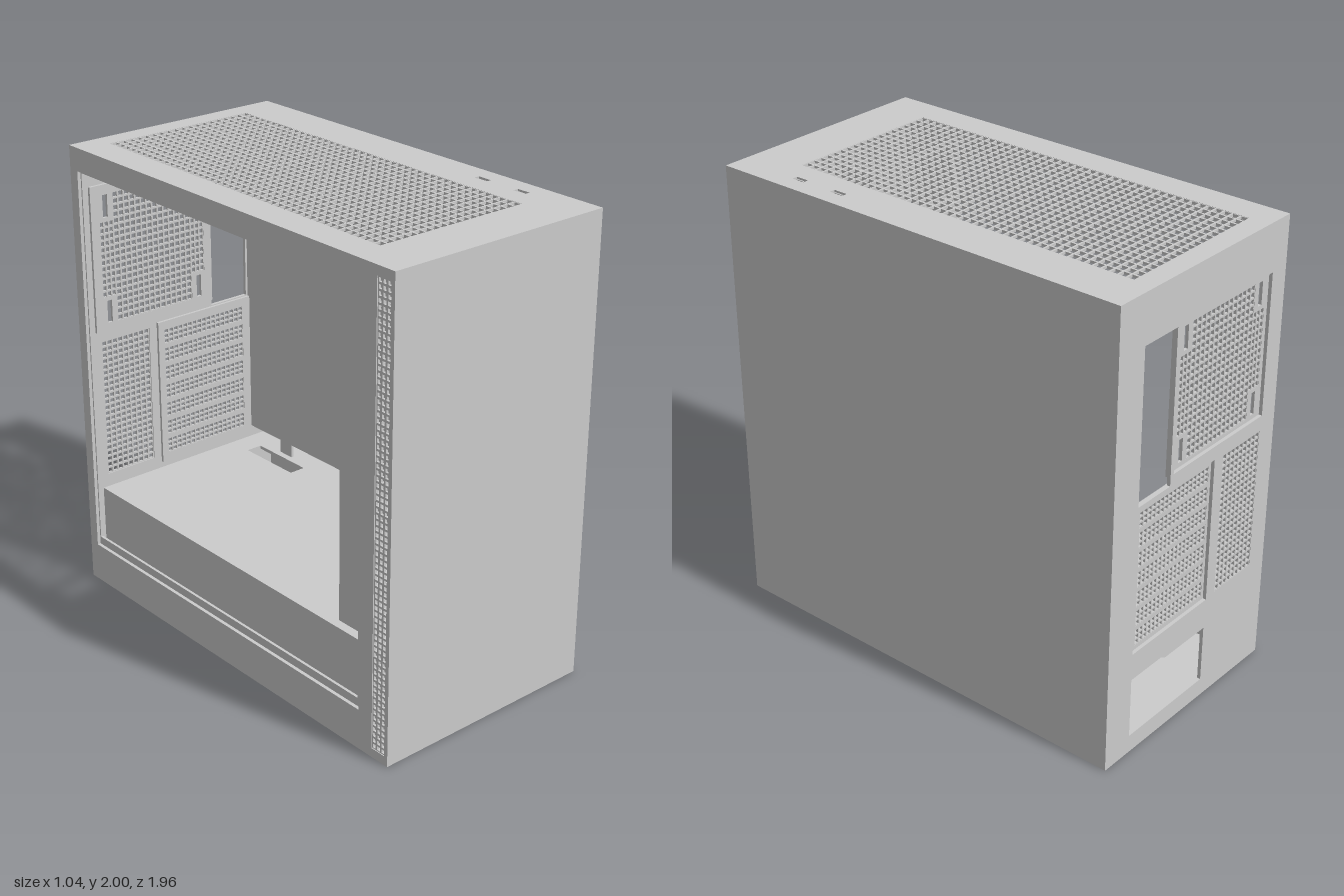
import * as THREE from 'three';
import { mergeGeometries } from 'three/addons/utils/BufferGeometryUtils.js';

const material = new THREE.MeshStandardMaterial({ color: 0xcccccc, flatShading: true });
const X = 0.52, H = 2, Z = 0.98, T = 0.015;

// A flat rectangle is [u0, v0, u1, v1]; its corners as points
const corners = ([a, b, c, d]) => [[a, b], [c, b], [c, d], [a, d]].map(p => new THREE.Vector2(...p));

// Turn a flat part to face an axis: back (x,y), top (x,z), side (z,y)
function orient(geo, axis, at) {
  if (axis === 'back') geo.translate(0, 0, at);
  if (axis === 'top') geo.rotateX(Math.PI / 2).translate(0, at, 0);
  if (axis === 'side') geo.rotateY(-Math.PI / 2).translate(at, 0, 0);
  return geo;
}

// Sheet with cut-outs; a hole is a rectangle or a list of points
function sheet(rect, holes, depth = T) {
  const shape = new THREE.Shape(corners(rect));
  for (const h of holes) {
    const pts = typeof h[0] === 'number' ? corners(h) : h.map(p => new THREE.Vector2(...p));
    shape.holes.push(new THREE.Path(pts));
  }
  return new THREE.ExtrudeGeometry(shape, { depth, bevelEnabled: false });
}

// Grid of crossing bars filling a rectangle
function grille([u0, v0, u1, v1], nu, nv, bar = 0.008, depth = 0.01) {
  const w = u1 - u0, h = v1 - v0, parts = [];
  for (let i = 0; i <= nu; i++)
    parts.push(new THREE.BoxGeometry(bar, h, depth).translate(u0 + w * i / nu, (v0 + v1) / 2, depth / 2 + 0.001));
  for (let j = 0; j <= nv; j++)
    parts.push(new THREE.BoxGeometry(w, bar, depth).translate((u0 + u1) / 2, v0 + h * j / nv, depth / 2 + 0.001));
  return mergeGeometries(parts);
}

export function createModel() {
  const model = new THREE.Group();
  const add = (name, geo) => {
    const mesh = new THREE.Mesh(geo, material);
    mesh.name = name;
    model.add(mesh);
  };
  const box = (name, x0, y0, z0, x1, y1, z1) => add(name,
    new THREE.BoxGeometry(x1 - x0, y1 - y0, z1 - z0).translate((x0 + x1) / 2, (y0 + y1) / 2, (z0 + z1) / 2));

  // Solid outer panels
  box('frontPanel', -X, 0, Z - T, X, H, Z);
  box('leftPanel', X - T, 0, -Z + T, X, H, Z - T);
  box('bottomPanel', -X + T, 0, -Z + T, X - T, T, Z - T);

  // Top panel with large mesh and two port openings
  const topVent = [-0.385, -0.89, 0.325, 0.755];
  const ports = [[0.42, 0.41, 0.445, 0.475], [0.42, 0.62, 0.445, 0.68]];
  add('topPanel', orient(sheet([-X, -Z + T, X - T, Z - T], [topVent, ...ports]), 'top', H));
  add('topMesh', orient(grille(topVent, 19, 44), 'top', H));
  for (const [x0, z0, x1, z1] of ports) {
    box('portFloor', x0 - 0.01, H - 0.05, z0 - 0.01, x1 + 0.01, H - 0.03, z1 + 0.01);
    box('portTongue', x0 + 0.008, H - 0.03, z0 + 0.01, x0 + 0.014, H - 0.004, z1 - 0.01);
  }

  // Open right side: frame, inner lip and vent strip along the front
  const window_ = [-0.93, 0.175, 0.815, 1.9];
  const strip = [0.89, 0.04, 0.965, 1.96];
  add('sideFrame', orient(sheet([-Z + T, 0, Z - T, H], [window_, [0.89, 0.04, 0.962, 1.96]]), 'side', -X + T));
  add('sideVent', orient(grille([strip[0], strip[1], 0.962, strip[3]], 3, 76, 0.009), 'side', -X + T));
  add('sideLip', orient(sheet([-0.95, 0.15, 0.84, 1.93], [[-0.925, 0.21, 0.79, 1.89]], 0.012), 'side', -X + 0.028));

  // Back panel with openings for ports, fan, cards, vent and power supply
  const fanArea = [-0.43, 1.175, 0.156, 1.79];
  const cardArea = [-0.115, 0.47, 0.37, 1.115];
  const backVent = [-0.42, 0.48, -0.17, 1.11];
  const supply = [[-0.11, 0.08], [0.37, 0.08], [0.37, 0.35], [0.18, 0.35], [0.15, 0.335], [-0.11, 0.335]];
  add('backPanel', orient(
    sheet([-X, 0, X, H], [[0.175, 1.13, 0.37, 1.79], fanArea, cardArea, backVent, supply]), 'back', -Z));
  add('backVentMesh', orient(grille(backVent, 9, 23), 'back', -Z));

  // Inset fan plate: notched mesh opening and four screw slots
  const cx = -0.14, cy = 1.48, w = 0.27, h = 0.29, nx = 0.2, ny = 0.17;
  const cross = [[-nx, -h], [nx, -h], [nx, -ny], [w, -ny], [w, ny], [nx, ny],
    [nx, h], [-nx, h], [-nx, ny], [-w, ny], [-w, -ny], [-nx, -ny]].map(([x, y]) => [cx + x, cy + y]);
  const slots = [];
  for (const sx of [-1, 1]) for (const sy of [-1, 1]) {
    const x = cx + sx * 0.238, y = cy + sy * 0.235;
    slots.push([x - 0.012, y - 0.05, x + 0.012, y + 0.05]);
  }
  add('fanPlate', orient(sheet([-0.45, 1.16, 0.17, 1.81], [cross, ...slots], 0.012), 'back', -Z + T));
  add('fanMesh', orient(mergeGeometries([
    grille([cx - nx, cy - h, cx + nx, cy + h], 14, 20),
    grille([cx - w, cy - ny, cx - nx, cy + ny], 3, 12),
    grille([cx + nx, cy - ny, cx + w, cy + ny], 3, 12)]), 'back', -Z + T));

  // Seven perforated card slot covers
  const cards = [];
  for (let i = 0; i < 7; i++) cards.push([-0.1, 0.49 + i * 0.088, 0.34, 0.56 + i * 0.088]);
  add('cardPlate', orient(sheet([-0.13, 0.45, 0.39, 1.125], cards, 0.012), 'back', -Z + T));
  add('cardSlotMesh', orient(mergeGeometries(cards.map(c => grille(c, 17, 3, 0.007))), 'back', -Z + T));

  // Shroud above the power supply, with cable cut-outs in its top
  add('shroudTop', orient(sheet([-0.45, -Z + T, X - T, 0.93],
    [[0.275, -0.85, 0.35, -0.54], [0.275, -0.06, 0.35, 0.25]]), 'top', 0.42));
  box('shroudSide', -0.45, T, -Z + T, -0.438, 0.405, 0.93);

  // Board tray with a column of cable slots
  const cables = [0.66, 0.88, 1.1, 1.32, 1.54].map(y => [0.34, y, 0.41, y + 0.15]);
  add('boardTray', orient(sheet([-Z + T, 0.48, 0.8, H - 0.03], cables, 0.012), 'side', 0.392));
  for (const z of [-0.7, 0.65]) box('trayFoot', 0.38, 0.42, z - 0.04, 0.392, 0.48, z + 0.04);

  // Front fan bracket: two channel posts joined by crossbars
  for (const [x0, x1, flange] of [[-0.41, -0.37, -0.41], [0.085, 0.125, 0.113]]) {
    box('bracketPost', x0, 0.42, 0.575, x1, 1.95, 0.587);
    box('bracketFlange', flange, 0.42, 0.587, flange + 0.012, 1.95, 0.73);
  }
  for (let i = 0; i < 7; i++)
    box('bracketCrossbar', -0.37, 0.43 + i * 0.25, 0.575, 0.085, 0.45 + i * 0.25, 0.587);
  return model;
}
